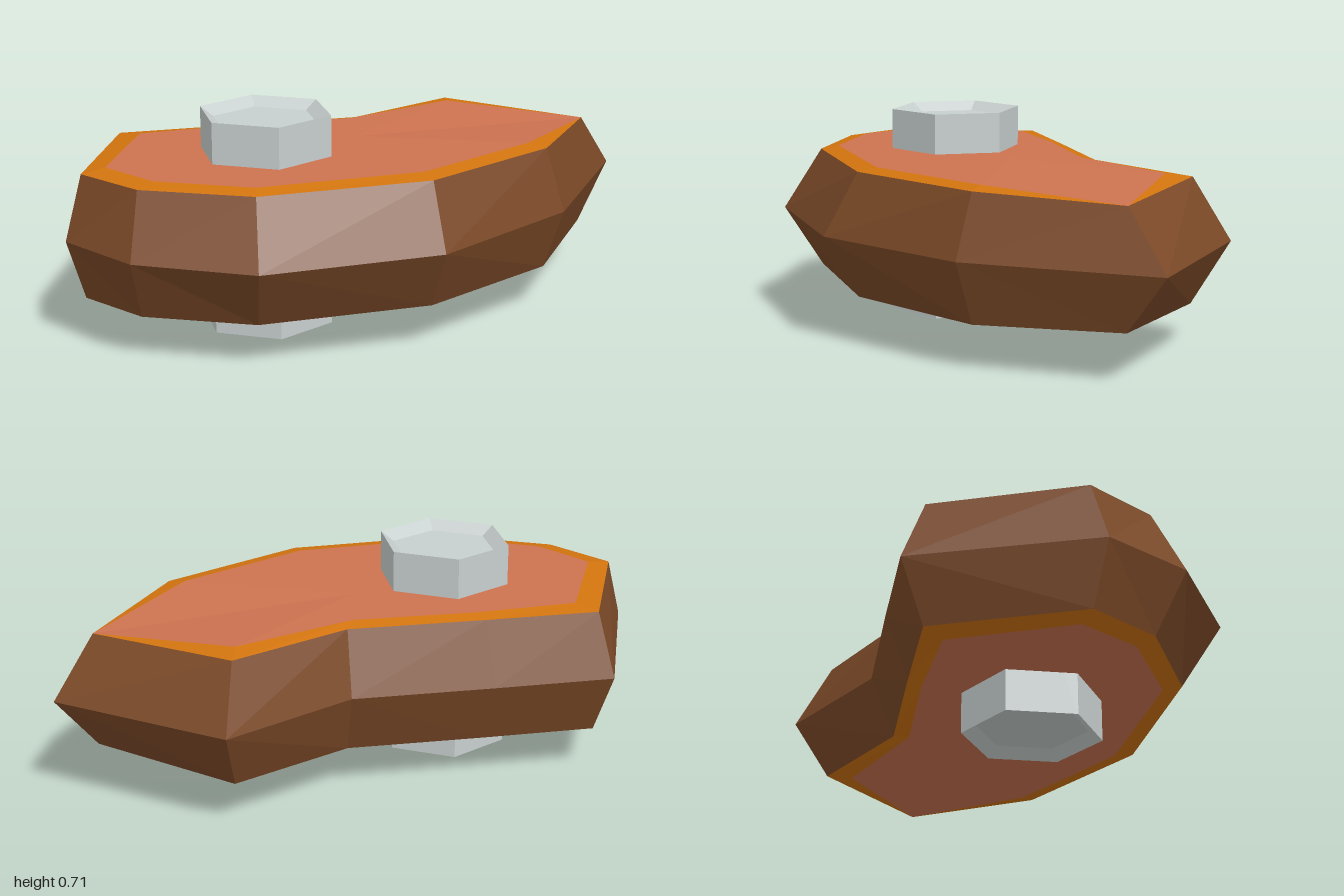
import * as THREE from 'three';

const MID = 0.355; // height of the widest contour

// Contours as [x, z], running clockwise seen from above
const OUTER = [[-0.8, -0.4], [-0.4, -0.412], [0.07, -0.42], [0.496, -0.66], [1, -0.28],
  [0.635, 0.27], [0.13, 0.6], [-0.47, 0.655], [-0.83, 0.46], [-1, 0.19]];
const RIM = [[-0.76, -0.325], [-0.38, -0.335], [0.07, -0.34], [0.46, -0.54], [0.865, -0.2],
  [0.59, 0.21], [0.12, 0.485], [-0.45, 0.525], [-0.79, 0.365], [-0.94, 0.15]];
const MEAT = [[-0.7, -0.26], [-0.36, -0.29], [0.045, -0.29], [0.44, -0.455], [0.865, -0.2],
  [0.54, 0.17], [0.11, 0.42], [-0.44, 0.465], [-0.735, 0.32], [-0.86, 0.13]];
const TIP = 4; // the pointed end sags a little

// Height above the middle turns each contour into 3D points
const lift = (loop, h, tipH) =>
  loop.map(([x, z], i) => new THREE.Vector3(x, i === TIP ? tipH : h, z));

// Flat-faced geometry from triangles, mirrored below when side is -1
function facets(tris, side) {
  const pts = [];
  for (const [a, b, c] of tris) {
    for (const p of side > 0 ? [a, b, c] : [a, c, b]) {
      pts.push(new THREE.Vector3(p.x, MID + side * p.y, p.z));
    }
  }
  const geo = new THREE.BufferGeometry().setFromPoints(pts);
  geo.computeVertexNormals();
  return geo;
}

// Band of faces between an outer and an inner contour
function band(a, b) {
  const tris = [];
  a.forEach((p, i) => {
    const j = (i + 1) % a.length;
    if (!p.equals(b[i])) tris.push([p, b[i], a[j]]);
    if (!a[j].equals(b[j])) tris.push([a[j], b[i], b[j]]);
  });
  return tris;
}

// Fan that closes a contour
const fan = (loop, centre) => loop.map((p, i) => [centre, loop[(i + 1) % loop.length], p]);

export function createModel() {
  const group = new THREE.Group();
  const material = (name, color) => {
    const m = new THREE.MeshStandardMaterial({ color });
    m.name = name;
    return m;
  };
  const crust = material('brown crust', 0x7c4a28);
  const fat = material('orange fat', 0xd2740e);
  const flesh = material('cooked meat', 0xcd7350);
  const boneGrey = material('bone grey', 0xc8d0cf);

  const add = (name, geo, mat) => {
    const mesh = new THREE.Mesh(geo, mat);
    mesh.name = name;
    group.add(mesh);
    return mesh;
  };

  const outer = lift(OUTER, 0, 0);
  const rim = lift(RIM, 0.207, 0.192);
  const meat = lift(MEAT, 0.218, 0.192);
  const centre = new THREE.Vector3(0, 0.218, -0.05);

  // Slab: matching upper and lower halves
  for (const [label, side] of [['upper', 1], ['lower', -1]]) {
    add(label + 'Crust', facets(band(outer, rim), side), crust);
    add(label + 'FatRim', facets(band(rim, meat), side), fat);
    add(label + 'MeatFace', facets(fan(meat, centre), side), flesh);
  }

  // Six-sided bone through the slab, with a shallow dish in each end
  const profile = [[0, 0.03], [0.18, 0.03], [0.225, 0], [0.225, 0.71], [0.18, 0.68], [0, 0.68]]
    .map(([r, y]) => new THREE.Vector2(r, y));
  const boneGeo = new THREE.LatheGeometry(profile, 6).toNonIndexed();
  boneGeo.computeVertexNormals();
  add('bone', boneGeo, boneGrey).position.set(-0.33, 0, 0.065);

  return group;
}
